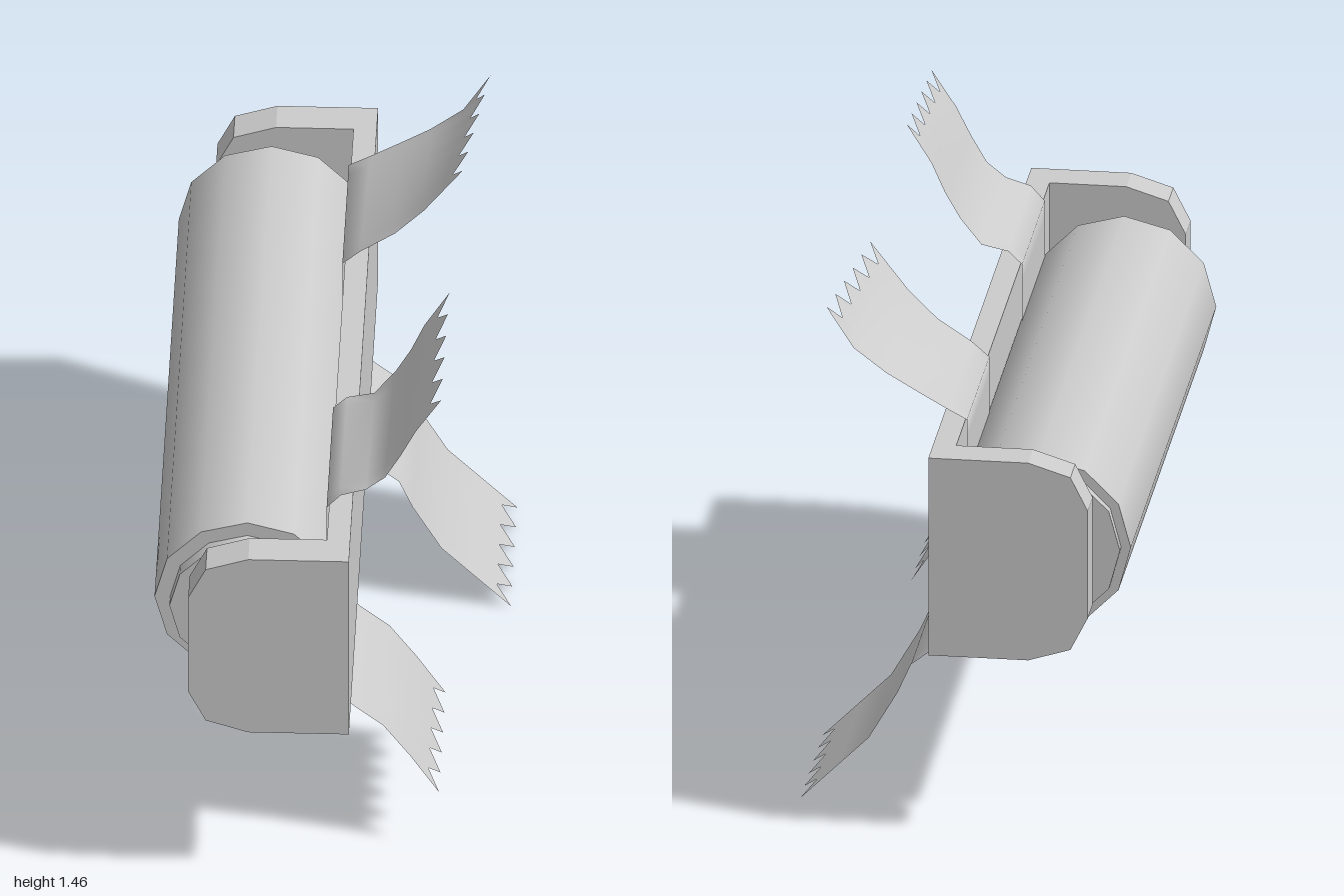
import * as THREE from 'three';

const grey = () => new THREE.MeshStandardMaterial({ color: 0xcccccc });

function add(parent, name, geometry, material = grey()) {
  const mesh = new THREE.Mesh(geometry, material);
  mesh.name = name;
  parent.add(mesh);
  return mesh;
}

// Twelve-sided cylinder along z, on the battery axis
function axial(parent, name, radius, z0, z1) {
  const g = new THREE.CylinderGeometry(radius, radius, z1 - z0, 12);
  g.rotateX(Math.PI / 2);
  add(parent, name, g).position.set(-0.2, 0.8, (z0 + z1) / 2);
}

// Tape strip between two edge paths of [x, y], with a torn zigzag at both ends
function tape(parent, name, zA, zB, pathA, pathB, teeth = 5) {
  const cols = teeth * 2, rows = pathA.length, last = rows - 1;
  const pos = [], index = [];
  for (let r = 0; r < rows; r++) {
    for (let c = 0; c <= cols; c++) {
      const u = c / cols;
      const at = (k) => new THREE.Vector2(...pathA[k]).lerp(new THREE.Vector2(...pathB[k]), u);
      const p = at(r);
      const isEnd = r === 0 || r === last;
      if (isEnd && c % 2) {
        const inward = at(r === 0 ? 1 : last - 1).sub(p).normalize();
        p.addScaledVector(inward, 0.055);
      }
      pos.push(p.x, p.y, zA + (zB - zA) * u);
      if (r < last && c < cols) {
        const a = r * (cols + 1) + c, b = a + cols + 1;
        index.push(a, b, a + 1, b, b + 1, a + 1);
      }
    }
  }
  const g = new THREE.BufferGeometry();
  g.setAttribute('position', new THREE.Float32BufferAttribute(pos, 3));
  g.setIndex(index);
  g.computeVertexNormals();
  const m = grey();
  m.side = THREE.DoubleSide;
  add(parent, name, g, m);
}

export function createModel() {
  const model = new THREE.Group();
  model.name = 'batteryHolder';

  // Bracket: long plate with a rounded cheek at each end
  const bracket = new THREE.Group();
  bracket.name = 'bracket';
  model.add(bracket);
  add(bracket, 'backPlate', new THREE.BoxGeometry(0.06, 0.55, 1.82)).position.set(0.04, 0.8, 0);
  const half = [[0.07, 0.275], [-0.19, 0.275], [-0.3, 0.24], [-0.345, 0.15]];
  const outline = [
    ...half.map(([x, y]) => new THREE.Vector2(x, 0.8 + y)),
    ...half.map(([x, y]) => new THREE.Vector2(x, 0.8 - y)).reverse(),
  ];
  const cheek = new THREE.ExtrudeGeometry(new THREE.Shape(outline), { depth: 0.095, bevelEnabled: false });
  add(bracket, 'frontCheek', cheek).position.z = 0.905;
  add(bracket, 'rearCheek', cheek).position.z = -1;

  // Battery cell with stepped ends and a contact
  const battery = new THREE.Group();
  battery.name = 'battery';
  model.add(battery);
  axial(battery, 'cell', 0.24, -0.87, 0.79);
  axial(battery, 'rearCap', 0.215, -0.895, -0.87);
  axial(battery, 'frontCap', 0.2, 0.79, 0.83);
  axial(battery, 'contact', 0.108, 0.83, 0.89);

  // Tape strips running behind the cell, free at the top and bottom
  const behind = [[0.004, 1.08], [0.004, 1.03], [0.004, 0.8], [0.004, 0.56], [0.012, 0.51], [0.075, 0.45]];
  const frontLower = [[0.15, 0.39], [0.22, 0.295], [0.295, 0.18]];
  tape(model, 'frontTape', 0.33, 0.77,
    [[0.305, 1.455], [0.24, 1.35], [0.205, 1.27], [0.165, 1.2], [0.11, 1.13], [0.04, 1.115], ...behind, ...frontLower],
    [[0.3, 1.43], [0.235, 1.33], [0.195, 1.25], [0.155, 1.18], [0.105, 1.14], [0.04, 1.12], ...behind, ...frontLower]);
  const rearLower = [[0.15, 0.39], [0.185, 0.31], [0.26, 0.18], [0.34, 0.1], [0.44, 0]];
  tape(model, 'rearTape', -0.74, -0.305,
    [[0.37, 1.375], [0.3, 1.265], [0.215, 1.2], [0.13, 1.15], [0.06, 1.11], ...behind, ...rearLower],
    [[0.315, 1.385], [0.265, 1.32], [0.215, 1.255], [0.14, 1.18], [0.05, 1.12], ...behind, ...rearLower]);

  return model;
}
